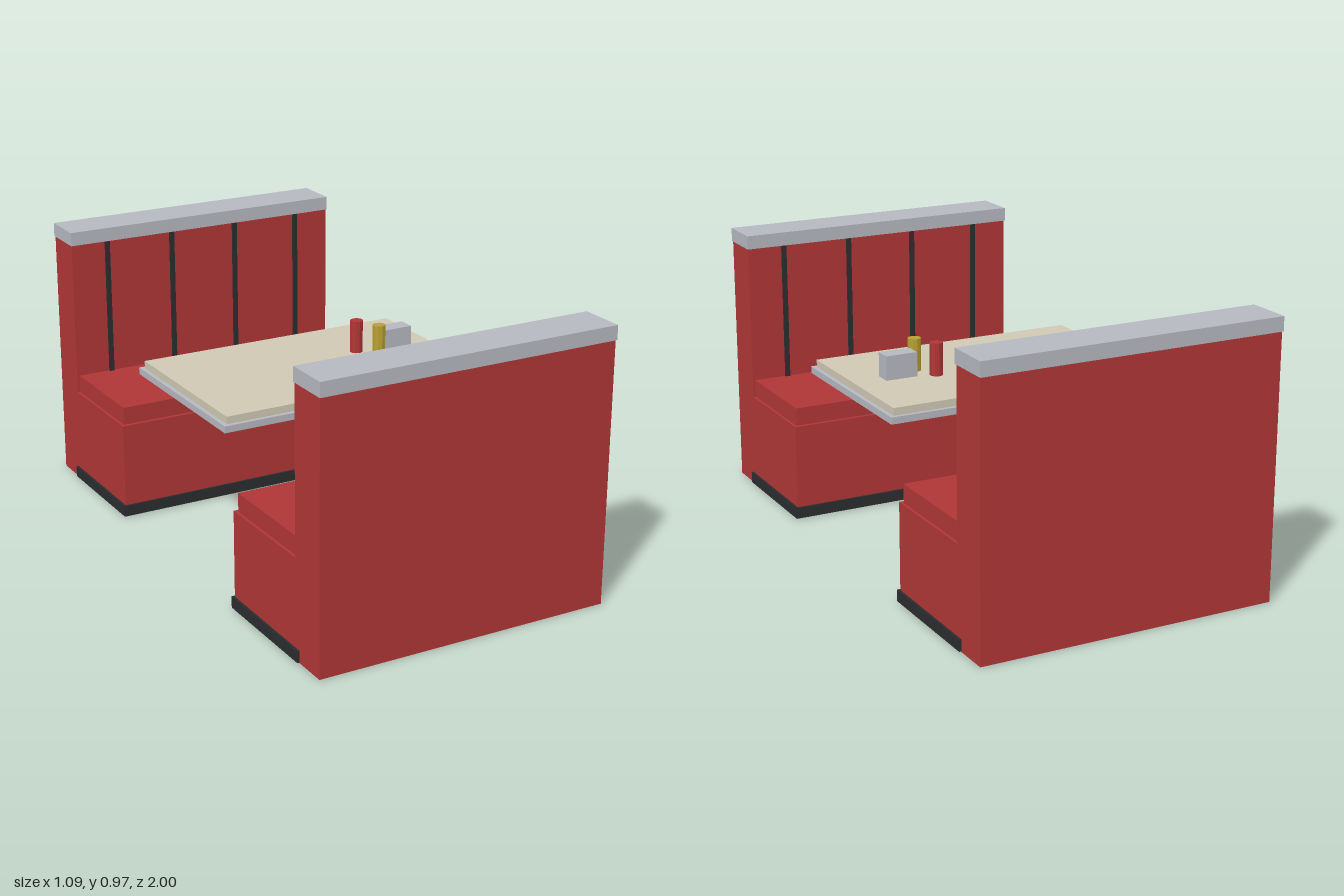
import * as THREE from 'three';

const mat = (color) => new THREE.MeshStandardMaterial({ color, flatShading: true });
const red = mat(0xb03636);
const dark = mat(0x2a2c2e);
const metal = mat(0xb6b8c0);
const cream = mat(0xd0c8b4);
const mustard = mat(0xb8a030);

function add(parent, name, geometry, material, x, y, z) {
  const mesh = new THREE.Mesh(geometry, material);
  mesh.name = name;
  mesh.position.set(x, y, z);
  parent.add(mesh);
  return mesh;
}

// Box given by its width in x and its ranges in y and z
function slab(parent, name, material, width, [y0, y1], [z0, z1], x = 0) {
  const geometry = new THREE.BoxGeometry(width, y1 - y0, z1 - z0);
  return add(parent, name, geometry, material, x, (y0 + y1) / 2, (z0 + z1) / 2);
}

// Upright cylinder from y0 to y1
function post(parent, name, material, radius, sides, [y0, y1], x = 0, z = 0) {
  const geometry = new THREE.CylinderGeometry(radius, radius, y1 - y0, sides);
  return add(parent, name, geometry, material, x, (y0 + y1) / 2, z);
}

// Bench whose back lies towards +z
function createBench(name) {
  const bench = new THREE.Group();
  bench.name = name;
  slab(bench, 'seatBase', red, 1.07, [0, 0.35], [0.433, 0.845]);
  slab(bench, 'seatCushion', red, 1.05, [0.35, 0.415], [0.447, 0.843]);
  slab(bench, 'backrest', red, 1.07, [0, 0.92], [0.843, 0.995]);
  slab(bench, 'backrestCap', metal, 1.075, [0.92, 0.97], [0.838, 1]);
  slab(bench, 'kickPlate', dark, 1.086, [0.002, 0.043], [0.425, 0.87]);
  // Dark seams across the backrest
  for (const x of [-0.395, -0.132, 0.132, 0.395]) {
    slab(bench, 'backrestSeam', dark, 0.018, [0.415, 0.92], [0.835, 0.85], x);
  }
  return bench;
}

function createTable() {
  const table = new THREE.Group();
  table.name = 'table';
  post(table, 'tableFoot', metal, 0.198, 16, [0, 0.024]);
  post(table, 'tablePedestal', metal, 0.038, 12, [0.024, 0.578]);
  slab(table, 'tableTrim', metal, 1.02, [0.578, 0.602], [-0.33, 0.33]);
  slab(table, 'tableTop', cream, 0.99, [0.602, 0.628], [-0.315, 0.315]);
  // Condiments
  post(table, 'ketchupBottle', red, 0.023, 10, [0.628, 0.744], 0.204, -0.043);
  post(table, 'mustardBottle', mustard, 0.023, 10, [0.628, 0.744], 0.246, 0.041);
  slab(table, 'napkinHolder', metal, 0.116, [0.628, 0.714], [-0.03, 0.03], 0.328);
  return table;
}

export function createModel() {
  const model = new THREE.Group();
  model.name = 'dinerBooth';
  const backBench = createBench('backBench');
  backBench.rotation.y = Math.PI;
  model.add(createBench('frontBench'), backBench, createTable());
  return model;
}
